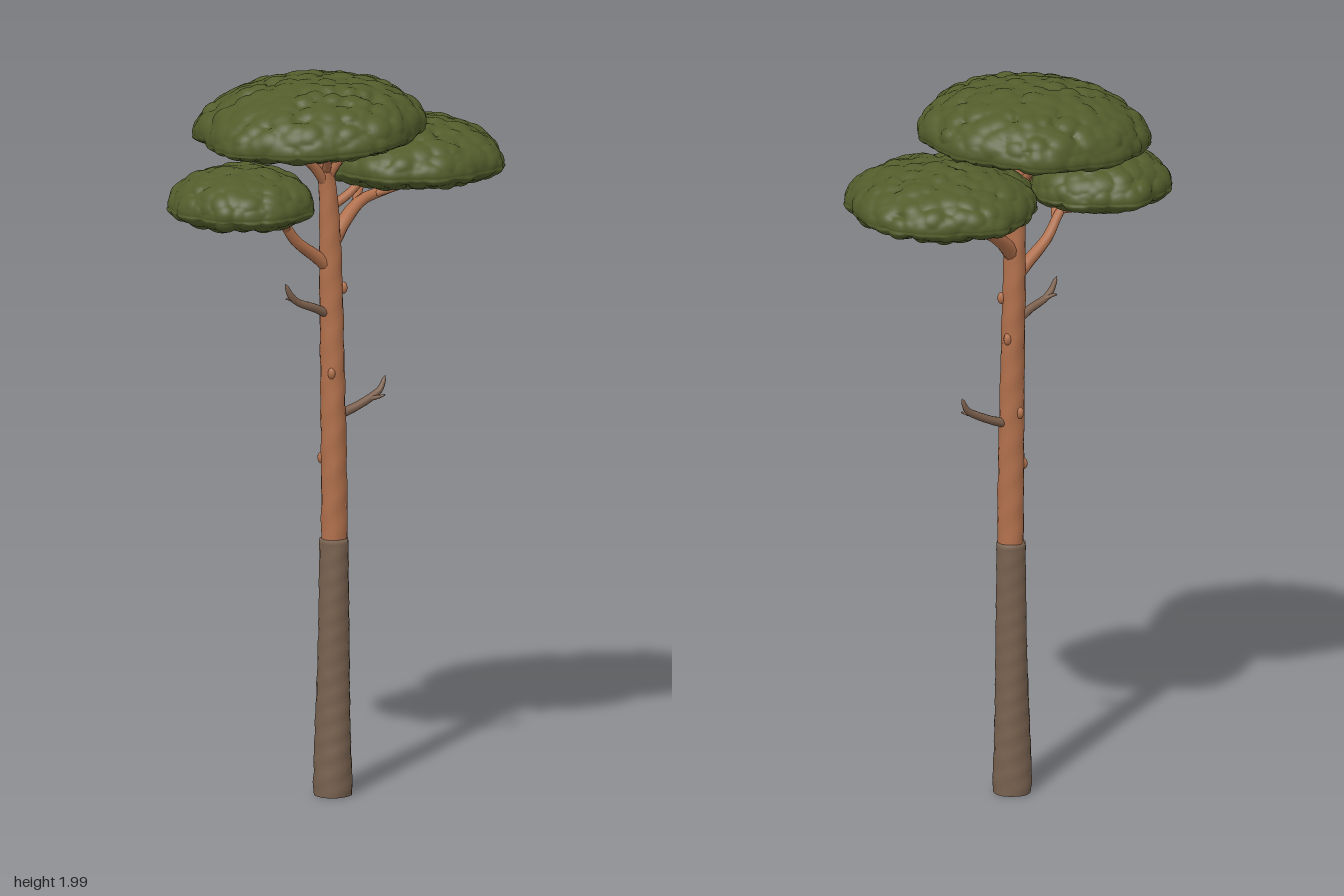
import * as THREE from 'three';
import { mergeVertices } from 'three/addons/utils/BufferGeometryUtils.js';

const V = (p) => new THREE.Vector3(...p);

function makeRandom(seed) {
  return () => {
    seed = (seed * 16807) % 2147483647;
    return seed / 2147483647;
  };
}

// Weld seams and give smooth normals
function smooth(geometry) {
  geometry.deleteAttribute('uv');
  geometry.deleteAttribute('normal');
  const welded = mergeVertices(geometry, 1e-5);
  welded.computeVertexNormals();
  return welded;
}

// Tapered limb through points [x, y, z, radius], closed at its tip
function limbGeometry(points, rings, sides, rough = 0) {
  const curve = new THREE.CatmullRomCurve3(points.map(V));
  const radii = new THREE.CatmullRomCurve3(points.map((p, i) => new THREE.Vector3(p[3], i, 0)), false, 'centripetal');
  const geometry = new THREE.TubeGeometry(curve, rings, 1, sides);
  const pos = geometry.attributes.position;
  const v = new THREE.Vector3();
  for (let i = 0; i <= rings; i++) {
    const u = i / rings;
    const centre = curve.getPointAt(u);
    const t = curve.getUtoTmapping(u);
    const r = i === rings ? 0 : Math.max(0.001, radii.getPoint(t).x);
    for (let j = 0; j <= sides; j++) {
      const k = i * (sides + 1) + j;
      const a = (j % sides) / sides * Math.PI * 2;
      const wave = Math.sin(a * 3 + u * 9) * 0.5 + Math.sin(a * 5 - u * 47) * 0.35 + Math.sin(a * 2 + u * 83) * 0.4;
      v.fromBufferAttribute(pos, k).sub(centre).multiplyScalar(r * (1 + rough * wave)).add(centre);
      pos.setXYZ(k, v.x, v.y, v.z);
    }
  }
  return smooth(geometry);
}

// Flattened dome covered with rounded leaf clumps
function canopyGeometry({ radius: [rx, rz], up, down, tilt, clumps, seed }) {
  const random = makeRandom(seed);
  const lump = 0.016;
  const shape = (d) => new THREE.Vector3(
    d.x * (rx - lump * 0.6),
    d.y * (d.y > 0 ? up - lump * 0.6 : down),
    d.z * (rz - lump * 0.6));
  const seeds = [];
  for (let i = 0; i < clumps; i++) {
    const y = 1 - 2 * (i + 0.5) / clumps;
    const a = i * 2.39996 + random() * 0.25;
    const s = Math.sqrt(1 - y * y);
    const p = shape(new THREE.Vector3(Math.cos(a) * s, y, Math.sin(a) * s));
    seeds.push({ p, size: 0.026 + random() * 0.018, lift: 0.5 + random() * 0.6 });
  }
  const phase = random() * 6;
  const geometry = smooth(new THREE.IcosahedronGeometry(1, 34));
  const pos = geometry.attributes.position;
  const d = new THREE.Vector3();
  const n = new THREE.Vector3();
  for (let i = 0; i < pos.count; i++) {
    d.fromBufferAttribute(pos, i).normalize();
    const p = shape(d);
    let bump = 0;
    for (const s of seeds) {
      const q = p.distanceToSquared(s.p) / (s.size * s.size);
      if (q < 1) bump = Math.max(bump, Math.sqrt(1 - q) * s.lift);
    }
    n.set(d.x / rx, d.y / (d.y > 0 ? up : down), d.z / rz).normalize();
    const a = Math.atan2(d.z, d.x);
    const outline = 1 + 0.018 * (1 - d.y * d.y) * (Math.sin(a * 5 + phase) + Math.sin(a * 8 - phase));
    p.x *= outline;
    p.z *= outline;
    p.addScaledVector(n, lump * (d.y < -0.1 ? 1.4 : 1) * (bump - 0.25));
    pos.setXYZ(i, p.x, p.y + p.x * tilt, p.z);
  }
  geometry.computeVertexNormals();
  return geometry;
}

export function createModel() {
  const tree = new THREE.Group();
  tree.name = 'pineTree';
  const material = (name, color) => {
    const m = new THREE.MeshStandardMaterial({ color });
    m.name = name;
    return m;
  };
  const greyBark = material('greyBark', 0x77614f);
  const orangeBark = material('orangeBark', 0xb1704c);
  const deadWood = material('deadWood', 0x7b5f4c);
  const needles = material('needles', 0x525c2b);
  const add = (name, geometry, mat, parent = tree) => {
    const mesh = new THREE.Mesh(geometry, mat);
    mesh.name = name;
    parent.add(mesh);
    return mesh;
  };

  // Trunk: thick grey bark below, thin orange bark above
  add('lowerTrunk', limbGeometry([
    [-0.012, 0, 0.002, 0.052], [-0.012, 0.04, 0.002, 0.053], [-0.011, 0.3, 0.002, 0.045],
    [-0.009, 0.55, 0.002, 0.041], [-0.008, 0.72, 0.002, 0.039],
  ], 60, 20, 0.035), greyBark);
  const base = add('trunkBase', new THREE.CircleGeometry(0.052, 20), greyBark);
  base.rotation.x = Math.PI / 2;
  base.position.set(-0.012, 0.001, 0.002);
  add('upperTrunk', limbGeometry([
    [-0.008, 0.66, 0.002, 0.036], [-0.01, 0.95, 0.004, 0.035], [-0.013, 1.2, 0.003, 0.033],
    [-0.018, 1.45, 0, 0.031], [-0.022, 1.6, 0, 0.027], [-0.03, 1.72, 0, 0.022],
    [-0.035, 1.8, 0.005, 0.016], [-0.04, 1.87, 0.01, 0.01],
  ], 110, 16, 0.05), orangeBark);

  // Small healed knots on the upper trunk
  [[0.8, 0.6], [0.93, 3.6], [1.08, 4.4], [1.17, 2], [1.29, 5.6], [1.4, 0.3]].forEach(([y, a]) => {
    const knot = add('trunkKnot', new THREE.SphereGeometry(0.011, 10, 8), orangeBark);
    knot.scale.y = 1.5;
    knot.position.set(-0.013 + Math.cos(a) * 0.03, y, 0.002 + Math.sin(a) * 0.03);
  });

  // Living branches that carry the crowns
  const branches = {
    leftBranch: [
      [[-0.015, 1.45, 0, 0.02], [-0.06, 1.49, 0.01, 0.018], [-0.13, 1.545, 0.03, 0.015], [-0.185, 1.615, 0.05, 0.012], [-0.27, 1.65, 0.07, 0.007]],
      [[-0.16, 1.58, 0.04, 0.011], [-0.18, 1.62, 0.09, 0.009], [-0.22, 1.66, 0.15, 0.005]],
      [[-0.18, 1.61, 0.05, 0.01], [-0.22, 1.625, 0.01, 0.008], [-0.27, 1.66, -0.02, 0.005]],
    ],
    rightBranch: [
      [[-0.015, 1.52, 0, 0.022], [0.03, 1.57, -0.03, 0.02], [0.1, 1.62, -0.07, 0.016], [0.2, 1.645, -0.09, 0.012], [0.32, 1.7, -0.1, 0.006]],
      [[0.07, 1.6, -0.05, 0.013], [0.11, 1.64, -0.12, 0.011], [0.17, 1.69, -0.2, 0.006]],
      [[0.14, 1.63, -0.08, 0.011], [0.2, 1.66, -0.03, 0.009], [0.27, 1.7, 0.04, 0.005]],
      [[-0.02, 1.62, 0, 0.013], [0.04, 1.655, -0.01, 0.012], [0.08, 1.69, -0.02, 0.01], [0.13, 1.75, -0.03, 0.006]],
    ],
    topBranch: [
      [[-0.025, 1.68, 0, 0.015], [-0.08, 1.75, 0.02, 0.013], [-0.15, 1.79, 0.04, 0.01], [-0.27, 1.825, 0.06, 0.005]],
      [[-0.03, 1.7, 0, 0.014], [0.01, 1.77, 0.03, 0.011], [0.08, 1.81, 0.06, 0.008], [0.13, 1.84, 0.08, 0.005]],
      [[-0.03, 1.72, 0, 0.013], [-0.05, 1.78, 0.07, 0.01], [-0.08, 1.82, 0.17, 0.006]],
      [[-0.03, 1.71, 0, 0.013], [-0.05, 1.78, -0.06, 0.01], [-0.08, 1.83, -0.15, 0.006]],
      [[-0.1, 1.765, 0.025, 0.01], [-0.15, 1.79, -0.03, 0.008], [-0.2, 1.83, -0.07, 0.005]],
    ],
  };

  // Broken dead stubs, each with a side twig
  const stubs = {
    upperDeadStub: [
      [[-0.02, 1.325, 0.005, 0.014], [-0.07, 1.352, 0.02, 0.012], [-0.125, 1.375, 0.03, 0.01], [-0.145, 1.395, 0.034, 0.009], [-0.162, 1.43, 0.037, 0.004]],
      [[-0.115, 1.372, 0.028, 0.007], [-0.14, 1.382, 0.022, 0.005], [-0.155, 1.384, 0.018, 0.002]],
    ],
    lowerDeadStub: [
      [[-0.005, 1.045, 0, 0.015], [0.045, 1.06, -0.004, 0.012], [0.1, 1.085, -0.01, 0.011], [0.13, 1.105, -0.014, 0.009], [0.147, 1.142, -0.018, 0.004]],
      [[0.095, 1.083, -0.008, 0.008], [0.12, 1.088, 0.002, 0.005], [0.138, 1.094, 0.008, 0.002]],
    ],
  };
  for (const [set, mat] of [[branches, orangeBark], [stubs, deadWood]]) {
    for (const [name, limbs] of Object.entries(set)) {
      const group = new THREE.Group();
      group.name = name;
      tree.add(group);
      limbs.forEach((points, i) => add(i ? 'sideTwig' : 'mainLimb', limbGeometry(points, 18, 10, 0.04), mat, group));
    }
  }

  // Three flat crowns of needles
  const crowns = [
    { name: 'topCrown', at: [-0.087, 1.852, 0.025], radius: [0.308, 0.314], up: 0.142, down: 0.045, tilt: 0.05, clumps: 420, seed: 11 },
    { name: 'rightCrown', at: [0.236, 1.728, -0.078], radius: [0.255, 0.268], up: 0.112, down: 0.058, tilt: 0, clumps: 340, seed: 29 },
    { name: 'leftCrown', at: [-0.301, 1.67, 0.073], radius: [0.196, 0.203], up: 0.104, down: 0.052, tilt: 0, clumps: 240, seed: 53 },
  ];
  for (const crown of crowns) {
    add(crown.name, canopyGeometry(crown), needles).position.set(...crown.at);
  }
  return tree;
}
